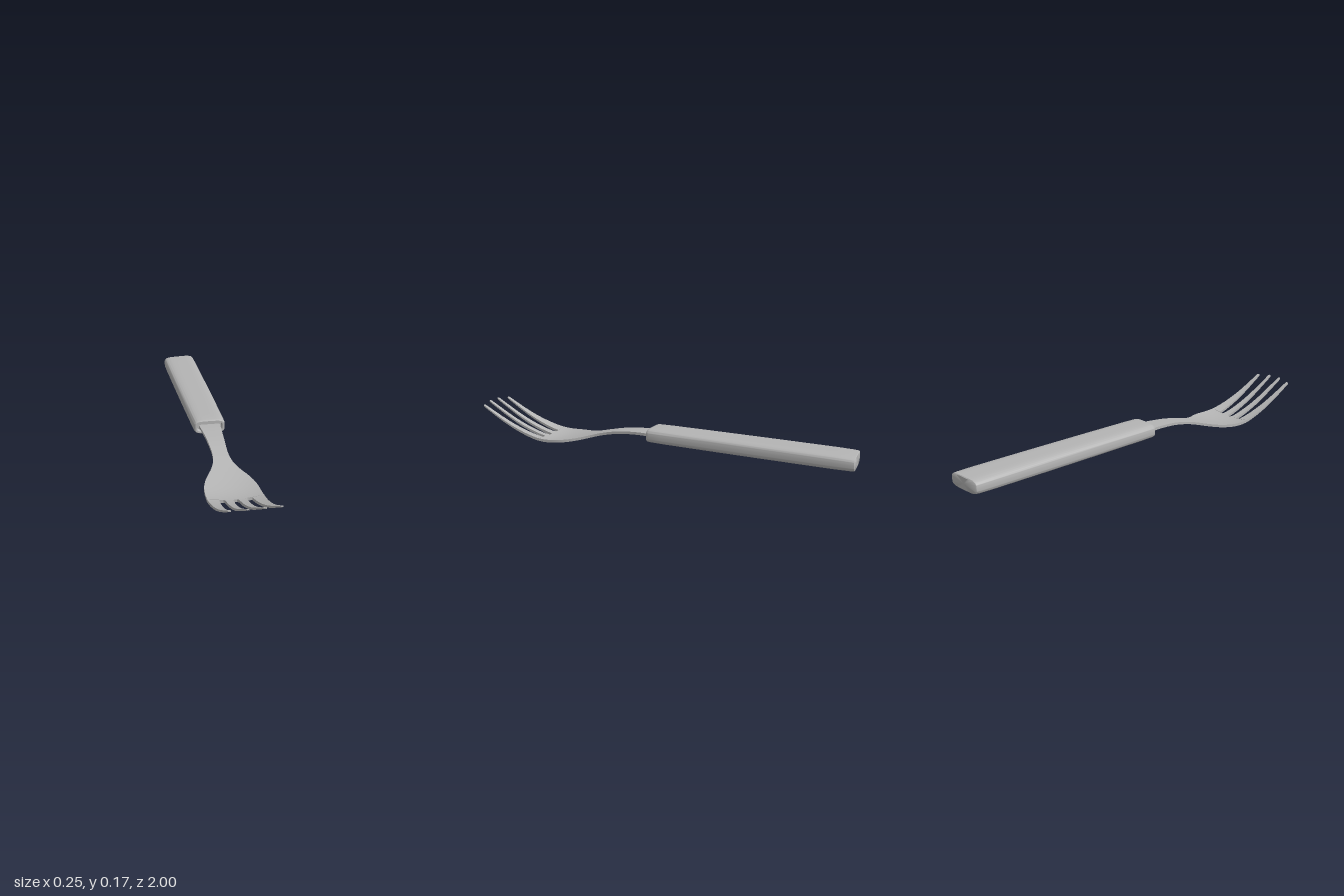
import * as THREE from 'three';
import { toCreasedNormals } from 'three/addons/utils/BufferGeometryUtils.js';

// Smooth cubic lookup through [z, value] pairs
function lookup(table, z) {
  const n = table.length;
  let i = 0;
  while (i < n - 2 && z > table[i + 1][0]) i++;
  const slope = (k) => {
    const a = table[Math.max(0, k - 1)], b = table[Math.min(n - 1, k + 1)];
    return (b[1] - a[1]) / (b[0] - a[0]);
  };
  const [z0, v0] = table[i], [z1, v1] = table[i + 1];
  const h = z1 - z0, t = THREE.MathUtils.clamp((z - z0) / h, 0, 1);
  const t2 = t * t, t3 = t2 * t;
  return (2 * t3 - 3 * t2 + 1) * v0 + (t3 - 2 * t2 + t) * h * slope(i)
    + (3 * t2 - 2 * t3) * v1 + (t3 - t2) * h * slope(i + 1);
}

// Skin a list of closed rings (counter-clockwise from +z) and cap both ends
function loft(rings, crease) {
  const n = rings[0].length, pos = [], index = [];
  rings.forEach((r) => r.forEach((p) => pos.push(...p)));
  for (let i = 0; i < rings.length - 1; i++) {
    for (let j = 0; j < n; j++) {
      const a = i * n + j, b = i * n + (j + 1) % n;
      index.push(a, b, b + n, a, b + n, a + n);
    }
  }
  [0, rings.length - 1].forEach((i) => {
    const c = pos.length / 3;
    pos.push(...[0, 1, 2].map((k) => rings[i].reduce((s, p) => s + p[k], 0) / n));
    for (let j = 0; j < n; j++) {
      const a = i * n + j, b = i * n + (j + 1) % n;
      if (i === 0) index.push(c, b, a);
      else index.push(c, a, b);
    }
  });
  const g = new THREE.BufferGeometry();
  g.setAttribute('position', new THREE.Float32BufferAttribute(pos, 3));
  g.setIndex(index);
  return toCreasedNormals(g, crease);
}

// Side curve of the metal: height of its middle surface along z
const HEIGHT = [[-0.05, 0.1], [0.03, 0.103], [0.1, 0.101], [0.2, 0.091], [0.3, 0.071], [0.4, 0.047],
  [0.5, 0.028], [0.58, 0.02], [0.65, 0.025], [0.75, 0.052], [0.85, 0.092], [1, 0.168]];
const THICK = [[-0.05, 0.014], [0.3, 0.013], [0.6, 0.014], [0.8, 0.011], [1, 0.007]];
const DISH = [[-0.05, 0], [0.28, 0], [0.5, 0.01], [0.63, 0.011], [0.8, 0.007], [1, 0]];
const HALF_WIDTH = [[-0.05, 0.053], [0.03, 0.051], [0.1, 0.046], [0.2, 0.04], [0.29, 0.037], [0.35, 0.046],
  [0.4, 0.067], [0.45, 0.094], [0.5, 0.113], [0.55, 0.122], [0.635, 0.125]];

// Flat dished cross-section from x0 to x1
function plateRing(z, x0, x1, steps, scale = 1) {
  const top = [], bottom = [], half = lookup(THICK, z) * scale / 2;
  for (let i = 0; i <= steps; i++) {
    const x = x0 + (x1 - x0) * i / steps;
    const y = lookup(HEIGHT, z) - lookup(DISH, z) * (1 - (x / 0.125) ** 2);
    bottom.push([x, y - half, z]);
    top.unshift([x, y + half, z]);
  }
  return [...bottom, ...top];
}

// Rounded handle cross-section; its back end is cut on a slight slant
function handleRing(z, hw, hh, slant) {
  const ring = [];
  for (let i = 0; i < 64; i++) {
    const a = (i / 64) * Math.PI * 2, c = Math.cos(a), s = Math.sin(a);
    const x = hw * Math.sign(c) * Math.abs(c) ** 0.5;
    const y = 0.103 + hh * Math.sign(s) * Math.abs(s) ** 0.5;
    ring.push([x, y, z - slant * x]);
  }
  return ring;
}

export function createModel() {
  const group = new THREE.Group();
  const metal = new THREE.MeshStandardMaterial({ color: 0xb4b4b4 });
  metal.name = 'grey metal';
  const add = (name, geometry) => {
    const mesh = new THREE.Mesh(geometry, metal);
    mesh.name = name;
    group.add(mesh);
  };

  // Handle, with a shallow socket in its front end
  const sections = [[-0.991, 0.082, 0.029], [-0.988, 0.0855, 0.0325], [-0.97, 0.087, 0.034],
    [-0.9, 0.0875, 0.0355], [-0.6, 0.085, 0.0365], [-0.3, 0.082, 0.0365], [-0.05, 0.079, 0.036],
    [0.015, 0.077, 0.035], [0.026, 0.075, 0.0335], [0.03, 0.072, 0.031],
    [0.03, 0.064, 0.024], [0.01, 0.06, 0.02]];
  add('handle', loft(sections.map(([z, w, h]) =>
    handleRing(z, w, h, 0.11 * THREE.MathUtils.clamp((-z - 0.8) / 0.17, 0, 1))), 0.7));

  // Neck and bowl in one plate
  const root = 0.635, blade = [];
  for (let i = 0; i <= 50; i++) {
    const z = -0.05 + (root + 0.05) * i / 50, w = lookup(HALF_WIDTH, z);
    blade.push(plateRing(z, -w, w, 16));
  }
  add('neckAndBowl', loft(blade, 0.6));

  // Four tapering tines: [root inner, root outer, tip inner, tip outer, tip z]
  const tines = [[0.013, 0.047, 0.027, 0.042, 1], [0.073, 0.125, 0.097, 0.112, 0.985]];
  tines.forEach(([r0, r1, t0, t1, end], k) => {
    [1, -1].forEach((side) => {
      const rings = [];
      const ring = (z, inset, scale) => {
        const t = (z - root) / (end - root);
        const a = THREE.MathUtils.lerp(r0, t0, t) + inset, b = THREE.MathUtils.lerp(r1, t1, t) - inset;
        rings.push(side > 0 ? plateRing(z, a, b, 4, scale) : plateRing(z, -b, -a, 4, scale));
      };
      // Small fillet at the foot of each slot
      [[0, 0.008], [0.003, 0.004], [0.008, 0.001]].forEach(([dz, f]) => ring(root + dz, k ? 0 : -f, 1));
      for (let i = 1; i <= 20; i++) ring(root + 0.008 + (end - root - 0.014) * i / 20, 0, 1);
      ring(end - 0.002, 0.0015, 0.9);
      ring(end, 0.004, 0.6);
      add((k ? 'outer' : 'inner') + 'Tine' + (side > 0 ? 'Left' : 'Right'), loft(rings, 0.6));
    });
  });
  return group;
}
